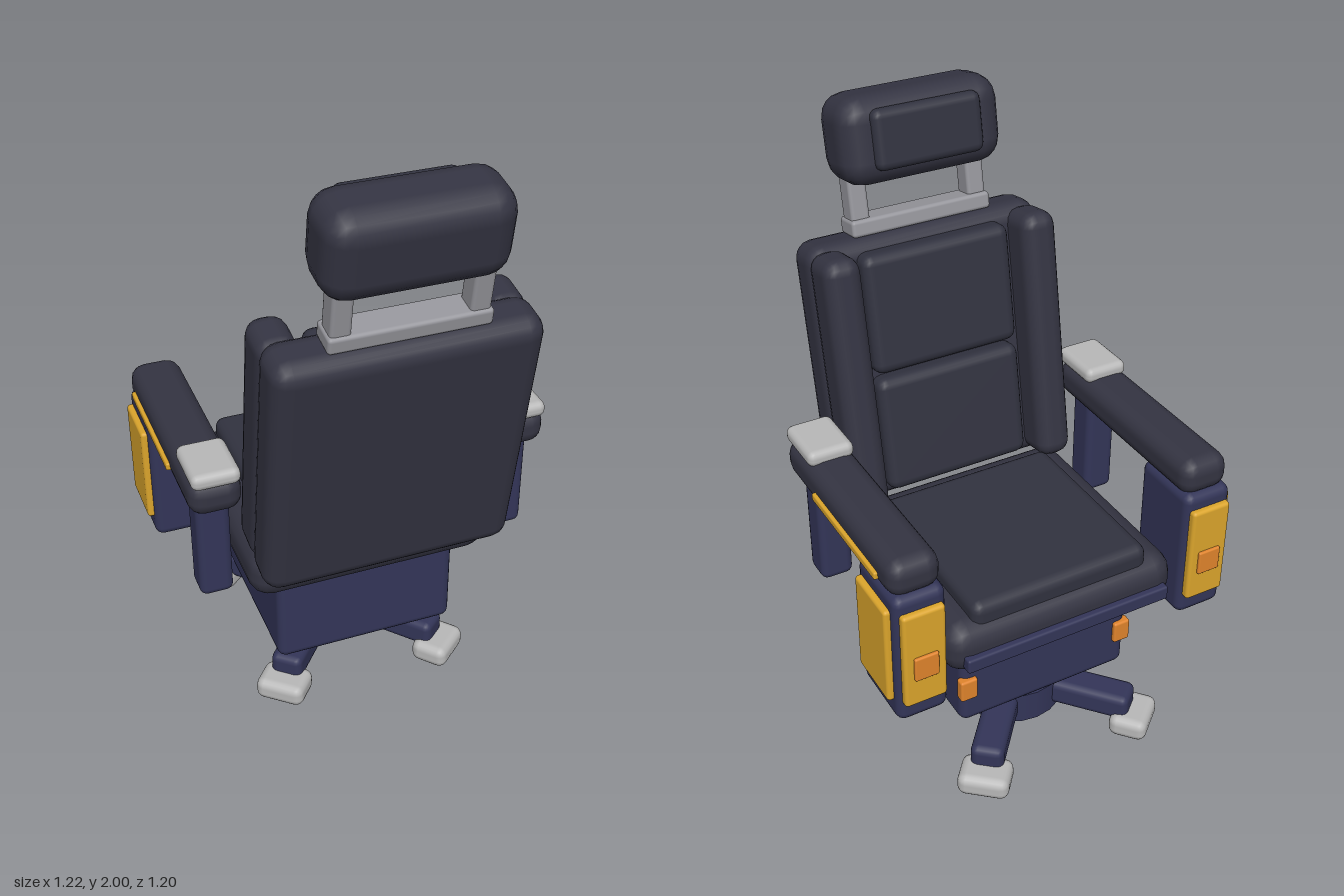
import * as THREE from 'three';
import { RoundedBoxGeometry } from 'three/addons/geometries/RoundedBoxGeometry.js';

const mat = (color) => new THREE.MeshStandardMaterial({ color });

export function createModel() {
  const model = new THREE.Group();
  model.name = 'chair';
  const M = {
    padding: mat(0x343442), insert: mat(0x31323f), frame: mat(0x333558), collar: mat(0x454a62),
    steel: mat(0x96969c), cap: mat(0xb8b8b8), yellow: mat(0xdba52c), orange: mat(0xe0842c),
  };

  // Rounded box centred at [x, y, z] with size [w, h, d]
  function box(parent, name, material, size, pos, r = 0.02, seg = 2) {
    const mesh = new THREE.Mesh(new RoundedBoxGeometry(...size, seg, r), material);
    mesh.name = name;
    mesh.position.set(...pos);
    parent.add(mesh);
    return mesh;
  }
  function group(parent, name, x = 0, y = 0, z = 0) {
    const g = new THREE.Group();
    g.name = name;
    g.position.set(x, y, z);
    parent.add(g);
    return g;
  }

  // Star base: hub, four legs and feet
  const base = group(model, 'base', 0, 0, -0.197);
  const hub = new THREE.Mesh(new THREE.CylinderGeometry(0.18, 0.18, 0.115, 20), M.frame);
  hub.name = 'hub';
  hub.position.y = 0.0925;
  base.add(hub);
  for (const sx of [-1, 1]) for (const sz of [-1, 1]) {
    const arm = group(base, 'baseLeg');
    arm.rotation.y = Math.atan2(sx * 0.285, sz * 0.333);
    box(arm, 'leg', M.frame, [0.11, 0.095, 0.36], [0, 0.098, 0.25], 0.025);
    box(arm, 'foot', M.cap, [0.17, 0.08, 0.13], [0, 0.041, 0.438], 0.03);
  }

  // Pedestal with corner lamps
  box(model, 'collar', M.collar, [0.49, 0.07, 0.4], [0, 0.18, -0.13], 0.012);
  box(model, 'pedestal', M.frame, [0.62, 0.33, 0.595], [0, 0.355, -0.1225], 0.03);
  for (const s of [-1, 1])
    box(model, 'pedestalLamp', M.orange, [0.06, 0.08, 0.035], [s * 0.288, 0.34, -0.418], 0.008);

  // Seat
  box(model, 'seat', M.padding, [0.82, 0.18, 0.79], [0, 0.6, -0.15], 0.075);
  box(model, 'seatInsert', M.insert, [0.625, 0.1, 0.64], [0, 0.695, -0.193], 0.035);
  box(model, 'seatFrontStrip', M.frame, [0.725, 0.05, 0.04], [0, 0.575, -0.547], 0.008);

  // Reclined back, with its front toward local -z
  const back = group(model, 'back', 0, 1.107, 0.365);
  back.rotation.x = 0.174;
  box(back, 'backPanel', M.padding, [0.82, 0.9, 0.175], [0, 0, 0], 0.06);
  for (const s of [-1, 1])
    box(back, 'backBolster', M.padding, [0.125, 0.87, 0.17], [s * 0.347, 0, -0.125], 0.05);
  for (const s of [-1, 1])
    box(back, 'backCushion', M.insert, [0.52, 0.4, 0.1], [0, s * 0.208, -0.1], 0.035);

  // Head rest on two posts
  box(back, 'headrestBar', M.steel, [0.49, 0.055, 0.1], [0, 0.473, -0.0075], 0.012);
  for (const s of [-1, 1])
    box(back, 'headrestPost', M.steel, [0.063, 0.25, 0.075], [s * 0.206, 0.565, -0.005], 0.012);
  box(back, 'headrest', M.padding, [0.55, 0.28, 0.23], [0, 0.753, -0.0385], 0.08);
  box(back, 'headrestPad', M.insert, [0.37, 0.19, 0.06], [0, 0.76, -0.15], 0.028);

  // Arm units on both sides
  for (const s of [-1, 1]) {
    const arm = group(model, s > 0 ? 'leftArm' : 'rightArm', s * 0.505, 0, 0);
    box(arm, 'armrest', M.padding, [0.17, 0.125, 0.77], [0, 0.953, -0.15], 0.05);
    box(arm, 'armrestCap', M.cap, [0.155, 0.055, 0.2], [0, 1.0255, 0.142], 0.024);
    box(arm, 'armrestStrip', M.yellow, [0.03, 0.026, 0.445], [s * 0.082, 0.938, -0.225], 0.006);
    box(arm, 'rearPost', M.frame, [0.11, 0.39, 0.11], [0, 0.73, 0.115], 0.025);
    box(arm, 'frontHousing', M.frame, [0.17, 0.47, 0.255], [0, 0.675, -0.423], 0.03);
    box(arm, 'sidePanel', M.yellow, [0.035, 0.345, 0.2], [s * 0.0875, 0.687, -0.42], 0.012);
    box(arm, 'frontPanel', M.yellow, [0.14, 0.345, 0.035], [0, 0.687, -0.5535], 0.012);
    box(arm, 'armLamp', M.orange, [0.08, 0.085, 0.024], [0, 0.658, -0.569], 0.006);
  }
  return model;
}
